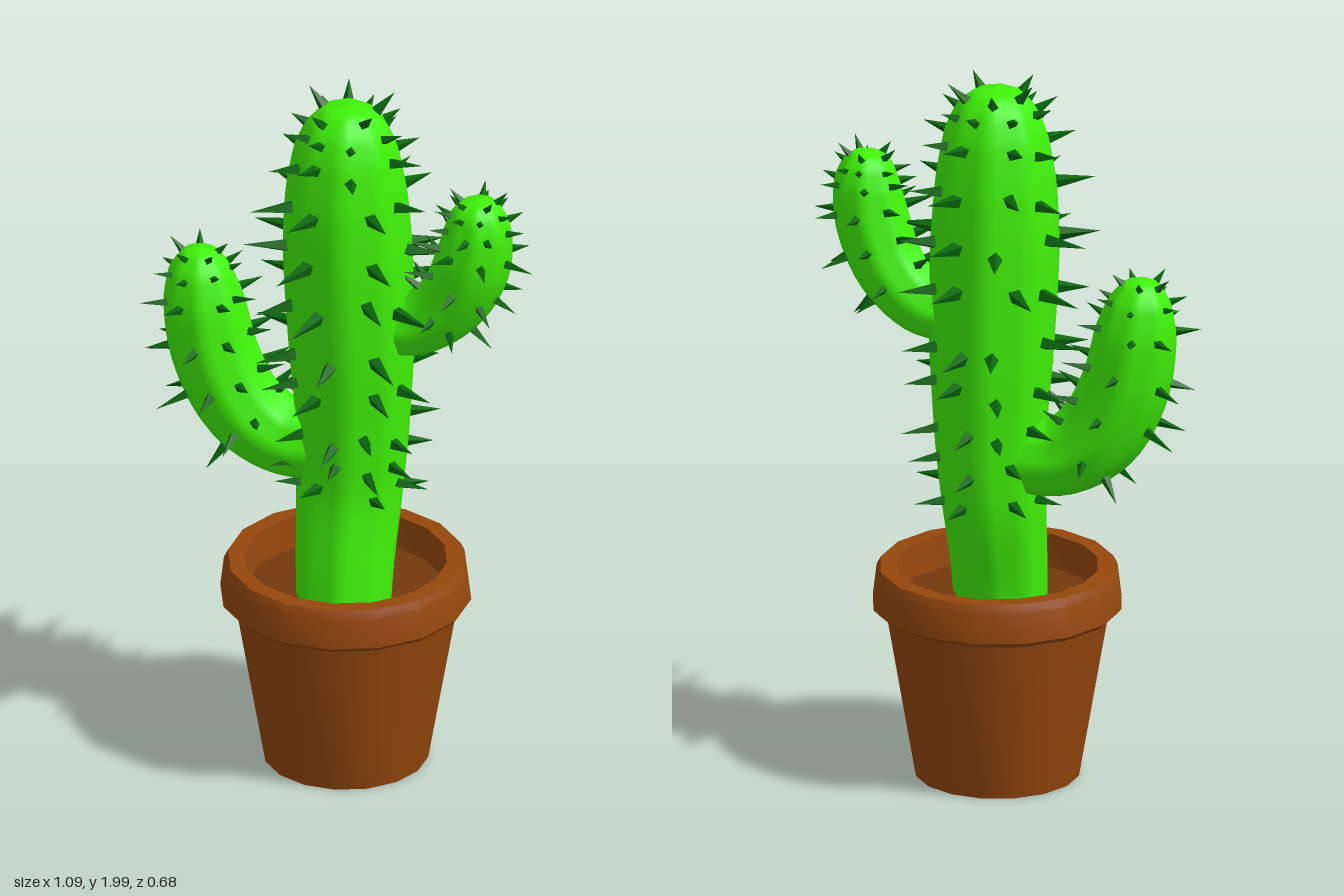
import * as THREE from 'three';
import { mergeGeometries, toCreasedNormals } from 'three/addons/utils/BufferGeometryUtils.js';

const mat = (color, extra = {}) => new THREE.MeshStandardMaterial({ color, ...extra });
const RIBS = 8, SIDES = 32;
const POT_X = 0.02;

// Stems as [x, y, z, radius] along the centre line, closing to a point
const TRUNK = [
  [0.02, 0.46, 0.05, 0.128], [0.021, 0.6, 0.024, 0.134], [0.028, 0.8, -0.016, 0.145], [0.035, 1.0, -0.022, 0.156],
  [0.032, 1.25, -0.018, 0.172], [0.025, 1.5, -0.01, 0.177], [0.022, 1.68, -0.006, 0.168], [0.022, 1.82, -0.004, 0.146],
  [0.022, 1.9, -0.002, 0.115], [0.022, 1.95, 0, 0.066], [0.022, 1.962, 0, 0.001],
];
const LEFT_ARM = [
  [0.13, 1.305, 0, 0.086], [0.23, 1.33, 0.012, 0.094], [0.32, 1.415, 0.032, 0.1], [0.37, 1.53, 0.052, 0.104],
  [0.387, 1.63, 0.058, 0.094], [0.387, 1.69, 0.06, 0.076], [0.386, 1.725, 0.06, 0.046], [0.385, 1.735, 0.06, 0.001],
];
const RIGHT_ARM = [
  [-0.05, 0.92, -0.03, 0.11], [-0.17, 0.935, -0.045, 0.113], [-0.27, 1.01, -0.055, 0.12], [-0.342, 1.15, -0.065, 0.121],
  [-0.373, 1.3, -0.072, 0.113], [-0.385, 1.4, -0.075, 0.088], [-0.387, 1.455, -0.075, 0.048], [-0.387, 1.468, -0.075, 0.001],
];

// Returns a sampler giving centre, radius, frame and slope at t
function makeStem(points) {
  const centre = new THREE.CatmullRomCurve3(points.map(p => new THREE.Vector3(p[0], p[1], p[2])));
  const radius = new THREE.CatmullRomCurve3(points.map((p, i) => new THREE.Vector3(p[3], i, 0)), false, 'catmullrom', 0.4);
  return t => {
    const c = centre.getPoint(t);
    const r = Math.max(radius.getPoint(t).x, 0.001);
    const tangent = centre.getTangent(t);
    const n = new THREE.Vector3(0, 0, 1).addScaledVector(tangent, -tangent.z).normalize();
    const b = tangent.clone().cross(n);
    const t0 = Math.max(t - 0.01, 0), t1 = Math.min(t + 0.01, 1);
    const slope = (radius.getPoint(t1).x - radius.getPoint(t0).x) / centre.getPoint(t0).distanceTo(centre.getPoint(t1));
    const radial = a => n.clone().multiplyScalar(Math.cos(a)).addScaledVector(b, Math.sin(a));
    return { c, r, tangent, slope, radial };
  };
}

// Ribbed skin lofted along the stem
function stemGeometry(stem, rings) {
  const pos = [], index = [];
  for (let i = 0; i <= rings; i++) {
    const s = stem(i / rings);
    for (let j = 0; j < SIDES; j++) {
      const angle = j / SIDES * Math.PI * 2;
      const p = s.radial(angle).multiplyScalar(s.r * (0.965 + 0.035 * Math.cos(RIBS * angle))).add(s.c);
      pos.push(p.x, p.y, p.z);
      if (i === rings) continue;
      const k = (j + 1) % SIDES, a = i * SIDES, d = a + SIDES;
      index.push(a + j, a + k, d + k, a + j, d + k, d + j);
    }
  }
  const g = new THREE.BufferGeometry();
  g.setAttribute('position', new THREE.Float32BufferAttribute(pos, 3));
  g.setIndex(index);
  g.computeVertexNormals();
  return g;
}

// Four-sided spines in rows, longest where the stem is thickest, with seeded variation
function spineGeometry(stem, rows, perRow, size, thickest, seed) {
  let n = seed;
  const vary = () => { n = (n * 16807) % 2147483647; return n / 2147483647 - 0.5; };
  const parts = [], up = new THREE.Vector3(0, 1, 0);
  rows.forEach((row, k) => {
    const count = k === rows.length - 1 ? 5 : perRow;
    for (let j = 0; j < count; j++) {
      const s = stem(row + vary() * 0.02);
      const dir = s.radial((j + 0.5) / count * Math.PI * 2 + vary() * 0.5);
      const base = s.c.clone().addScaledVector(dir, s.r * 0.9);
      dir.addScaledVector(s.tangent, -THREE.MathUtils.clamp(s.slope, -1, 0.2) + vary() * 0.12).normalize();
      const scale = Math.max(s.r / thickest, 0.72);
      const length = size * scale * scale * (1 + vary() * 0.35);
      const g = new THREE.ConeGeometry(0.18 * size * scale, length, 4);
      g.translate(0, length / 2, 0);
      g.applyQuaternion(new THREE.Quaternion().setFromUnitVectors(up, dir));
      parts.push(g.translate(base.x, base.y, base.z));
    }
  });
  return mergeGeometries(parts);
}

export function createModel() {
  const model = new THREE.Group();
  const green = mat(0x40f208);
  const darkGreen = mat(0x0a660e, { flatShading: true });
  const add = (name, geometry, material, parent = model) => {
    const mesh = new THREE.Mesh(geometry, material);
    mesh.name = name;
    parent.add(mesh);
    return mesh;
  };

  // Pot: tapered body, overhanging rim and inner wall in one turned profile
  const profile = [
    [0, 0], [0.224, 0], [0.305, 0.472], [0.328, 0.472], [0.341, 0.486],
    [0.331, 0.57], [0.32, 0.592], [0.275, 0.592], [0.265, 0.48],
  ].map(p => new THREE.Vector2(...p));
  const pot = add('pot', toCreasedNormals(new THREE.LatheGeometry(profile, 16), 0.45), mat(0x95470c));
  pot.position.x = POT_X;

  // Soil
  const soil = add('soil', new THREE.CircleGeometry(0.268, 16).rotateX(-Math.PI / 2), mat(0x74380c));
  soil.position.set(POT_X, 0.5, 0);

  // Trunk and arms with their spines
  const armRows = [0.24, 0.36, 0.48, 0.6, 0.71, 0.83];
  const stems = [
    ['trunk', TRUNK, 48, [0.21, 0.255, 0.3, 0.35, 0.4, 0.46, 0.52, 0.6, 0.69, 0.78, 0.86], 8, 0.125, 0.177],
    ['leftArm', LEFT_ARM, 36, armRows, 7, 0.085, 0.104],
    ['rightArm', RIGHT_ARM, 36, armRows, 7, 0.088, 0.121],
  ];
  stems.forEach(([name, points, rings, rows, perRow, size, thickest], i) => {
    const group = new THREE.Group();
    group.name = name;
    const stem = makeStem(points);
    add(name + 'Body', stemGeometry(stem, rings), green, group);
    add(name + 'Spines', spineGeometry(stem, rows, perRow, size, thickest, 7919 * (i + 3)), darkGreen, group);
    model.add(group);
  });
  return model;
}
